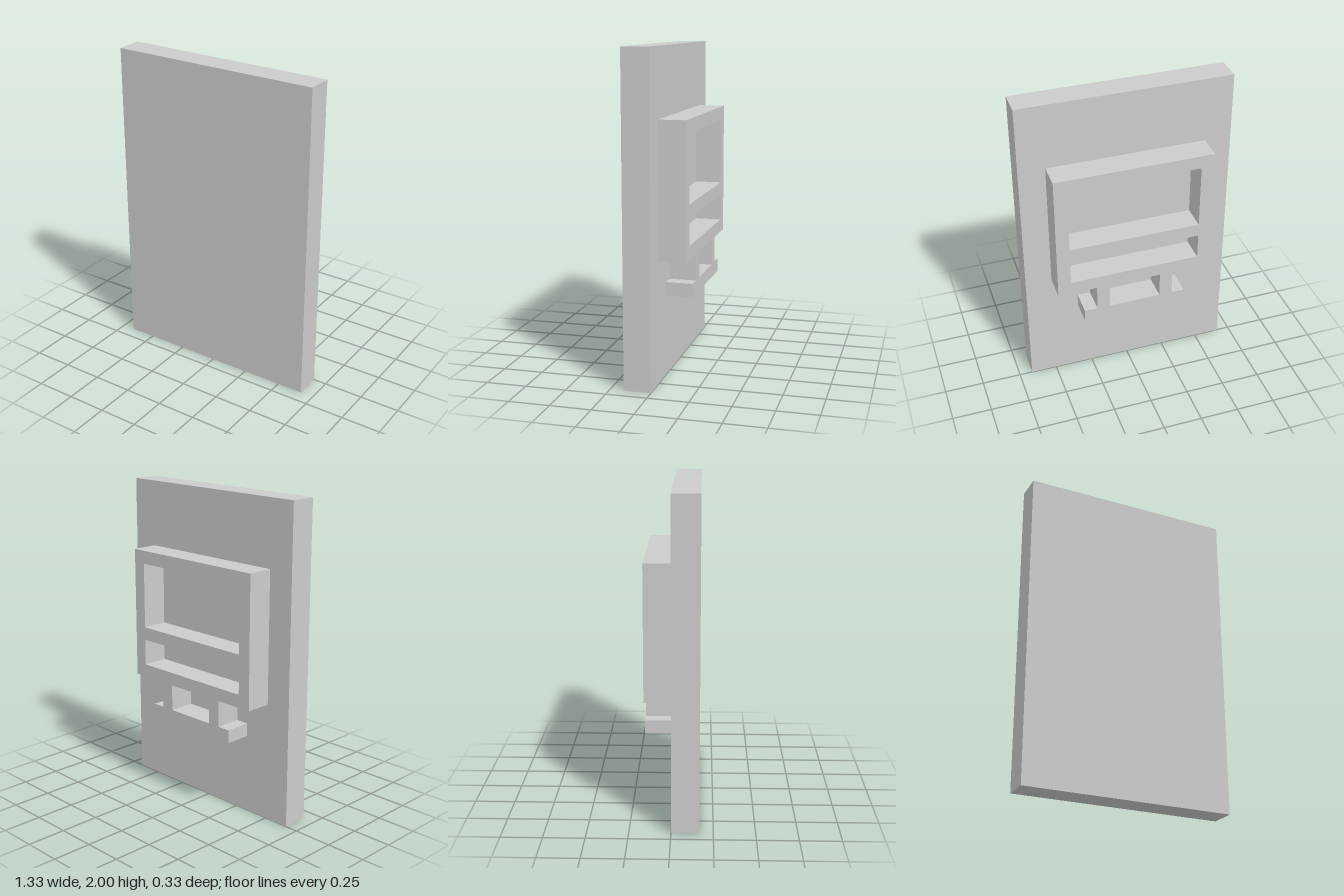
import * as THREE from 'three';

const U = 1 / 12; // grid unit shared by all parts

// rectangular hole, in grid units
function rectHole(x0, x1, y0, y1) {
  return new THREE.Path([[x0, y0], [x0, y1], [x1, y1], [x1, y0]]
    .map(([x, y]) => new THREE.Vector2(x * U, y * U)));
}

export function createModel() {
  const group = new THREE.Group();
  const material = new THREE.MeshStandardMaterial({ color: 0xcccccc, flatShading: true });

  // flat upright panel
  const panel = new THREE.Mesh(new THREE.BoxGeometry(16 * U, 24 * U, 2 * U), material);
  panel.name = 'panel';
  panel.position.set(0, 12 * U, U);
  group.add(panel);

  // raised monitor outline on the back: right half, mirrored for the left
  const half = [[4, 6], [4, 7], [3, 7], [3, 9], [6, 9], [6, 19]];
  const mirrored = half.map(([x, y]) => [-x, y]).reverse();
  const outline = new THREE.Shape([...half, ...mirrored]
    .map(([x, y]) => new THREE.Vector2(x * U, y * U)));
  outline.holes.push(
    rectHole(-5, 5, 13, 18), // screen opening
    rectHole(-5, 5, 10, 12), // lower slot
    rectHole(-2, 2, 7, 9),   // gap between the stand posts
  );
  const relief = new THREE.Mesh(
    new THREE.ExtrudeGeometry(outline, { depth: 2 * U, bevelEnabled: false }), material);
  relief.name = 'monitorRelief';
  relief.position.z = -2 * U;
  group.add(relief);

  return group;
}
